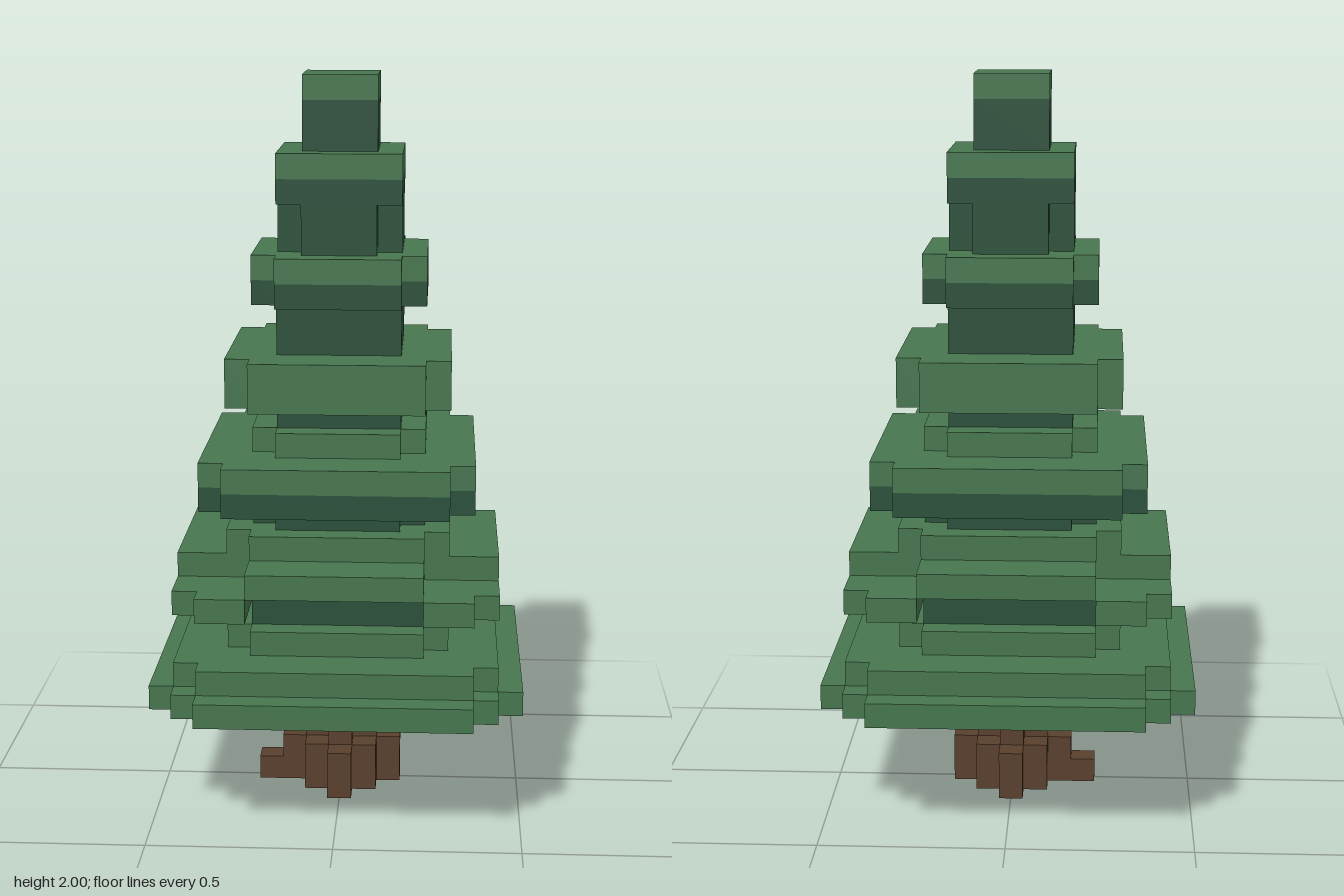
import * as THREE from 'three';

const U = 1 / 15; // edge of one block

const mat = (name, color) => {
  const m = new THREE.MeshStandardMaterial({ color });
  m.name = name;
  return m;
};

// Slab with stepped corners. Steps are half extents [x, z] in blocks, widest x first;
// one quadrant of the outline is turned four times.
function slabGeometry(steps, y0, y1) {
  const quadrant = [];
  steps.forEach(([a, b], i) => {
    quadrant.push([a, b]);
    if (i < steps.length - 1) quadrant.push([steps[i + 1][0], b]);
  });
  const points = [];
  for (let k = 0; k < 4; k++) {
    for (const [x, y] of quadrant) {
      const [px, py] = [[x, y], [-y, x], [-x, -y], [y, -x]][k];
      points.push(new THREE.Vector2(px * U, py * U));
    }
  }
  const geo = new THREE.ExtrudeGeometry(new THREE.Shape(points), { depth: (y1 - y0) * U, bevelEnabled: false });
  geo.rotateX(-Math.PI / 2);
  geo.translate(0, y0 * U, 0);
  return geo;
}

// Square of half size h with one block missing from each corner
const notched = (h) => [[h, h - 1], [h - 1, h]];
const square = (h) => [[h, h]];

export function createModel() {
  const group = new THREE.Group();
  const light = mat('light needles', 0x477850);
  const dark = mat('dark needles', 0x2b513b);
  const bark = mat('bark', 0x5a402e);

  const add = (name, geo, material) => {
    const mesh = new THREE.Mesh(geo, material);
    mesh.name = name;
    group.add(mesh);
    return mesh;
  };
  const slab = (name, material, steps, y0, y1) => add(name, slabGeometry(steps, y0, y1), material);

  // Trunk with a flared base and one root
  slab('trunkBase', bark, [[2.5, 0.5], [1.5, 1.5], [0.5, 2.5]], 0, 2);
  slab('trunk', bark, notched(1.5), 2, 5);
  const root = add('root', new THREE.BoxGeometry(U, U, U), bark);
  root.position.set(-3 * U, U / 2, 0);

  // Lowest tier, shaded underneath
  slab('underside', dark, notched(6.5), 4.95, 5);
  slab('tierOneRim', light, [[7.5, 5.5], [6.5, 6.5], [5.5, 7.5]], 5, 6);
  slab('tierOneMiddle', light, notched(6.5), 6, 7);
  slab('tierOneTop', light, notched(4.5), 7, 8);
  slab('coreOne', dark, square(3.5), 8, 10);

  // Second tier: a cross with corners hanging one block lower
  slab('tierTwoCross', light, [[6.5, 3.5], [3.5, 6.5]], 10, 11);
  const corner = new THREE.Shape(
    [[3.5, 3.5], [6.5, 3.5], [6.5, 5.5], [5.5, 5.5], [5.5, 6.5], [3.5, 6.5]]
      .map(([x, y]) => new THREE.Vector2(x * U, y * U)));
  const cornerGeo = new THREE.ExtrudeGeometry(corner, { depth: U, bevelEnabled: false });
  cornerGeo.rotateX(-Math.PI / 2);
  for (let k = 0; k < 4; k++) {
    const c = add('tierTwoCorner', cornerGeo, light);
    c.position.y = 9 * U;
    c.rotation.y = k * Math.PI / 2;
  }
  slab('tierTwoTop', light, notched(4.5), 11, 12);
  slab('coreTwo', dark, notched(3.5), 12, 13);

  // Third tier
  slab('tierThreeLower', dark, notched(5.5), 13, 14);
  slab('tierThreeUpper', light, notched(5.5), 14, 15);
  slab('tierThreeTop', light, notched(3.5), 15, 16);
  slab('coreThree', dark, square(2.5), 16, 17);

  // Fourth tier
  slab('tierFour', light, notched(4.5), 17, 19);
  slab('coreFour', dark, square(2.5), 19, 21);

  // Fifth tier
  slab('tierFiveLower', dark, notched(3.5), 21, 22);
  slab('tierFiveUpper', light, notched(3.5), 22, 23);
  slab('coreFive', dark, notched(2.5), 23, 25);

  // Crown and tip
  slab('crownLower', dark, square(2.5), 25, 26);
  slab('crownUpper', light, square(2.5), 26, 27);
  slab('tipLower', dark, square(1.5), 27, 29);
  slab('tipUpper', light, square(1.5), 29, 30);

  return group;
}
